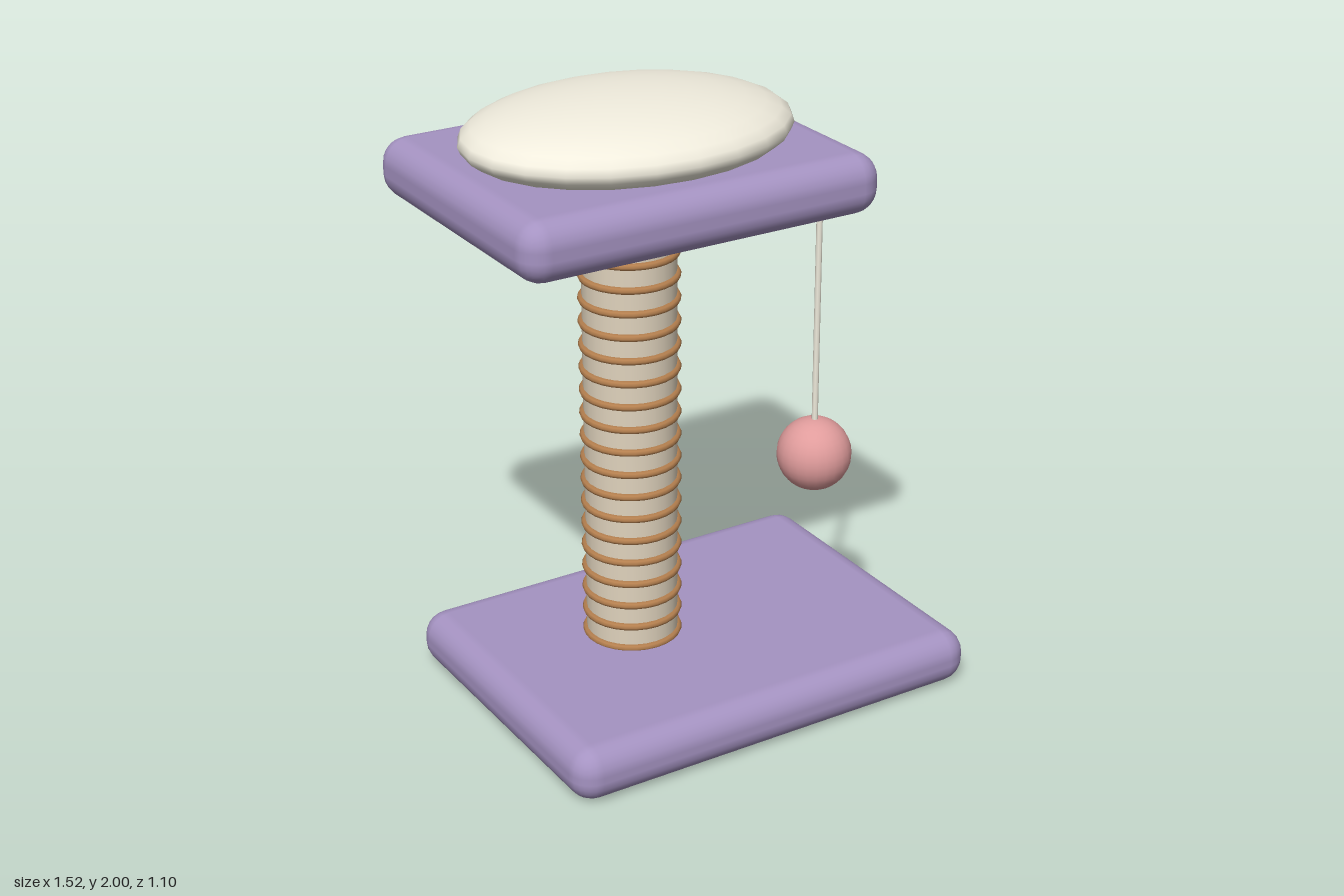
import * as THREE from 'three';
import { RoundedBoxGeometry } from 'three/addons/geometries/RoundedBoxGeometry.js';

const material = (color) => new THREE.MeshStandardMaterial({ color });
const plush = material(0xa593c2);
const cream = material(0xf0ecdd);
const sisal = material(0xe0d3bd);
const rope = material(0xb5804f);
const pink = material(0xe09c9c);

export function createModel() {
  const model = new THREE.Group();
  model.name = 'catTree';

  const add = (name, geometry, mat, x, y, z, parent = model) => {
    const mesh = new THREE.Mesh(geometry, mat);
    mesh.name = name;
    mesh.position.set(x, y, z);
    parent.add(mesh);
    return mesh;
  };

  // Shared axis of post, platform and cushion
  const px = -0.155, pz = -0.07;

  // Padded base and upper platform
  add('base', new RoundedBoxGeometry(1.455, 0.18, 1.09, 3, 0.08), plush, 0.028, 0.095, 0.003);
  add('platform', new RoundedBoxGeometry(1.21, 0.19, 0.97, 3, 0.08), plush, px, 1.735, pz);

  // Scratching post
  add('post', new THREE.CylinderGeometry(0.147, 0.147, 1.5, 24), sisal, px, 0.92, pz);

  // Rope windings around the post
  const windings = new THREE.Group();
  windings.name = 'ropeWindings';
  model.add(windings);
  const ring = new THREE.TorusGeometry(0.148, 0.012, 8, 28).rotateX(Math.PI / 2);
  for (let i = 0; i < 18; i++) add('ropeRing', ring, rope, px, 0.19 + i * 0.0768, pz, windings);

  // Oval cushion
  const cushion = add('cushion', new THREE.SphereGeometry(1, 24, 16), cream, px, 1.88, pz);
  cushion.scale.set(0.53, 0.12, 0.41);

  // Hanging toy
  const toy = new THREE.Group();
  toy.name = 'hangingToy';
  toy.position.set(0.39, 0, 0.155);
  model.add(toy);
  add('string', new THREE.CylinderGeometry(0.01, 0.01, 0.81, 8), cream, 0, 1.265, 0, toy);
  add('ball', new THREE.SphereGeometry(0.12, 24, 16), pink, 0, 0.765, 0, toy);

  return model;
}
